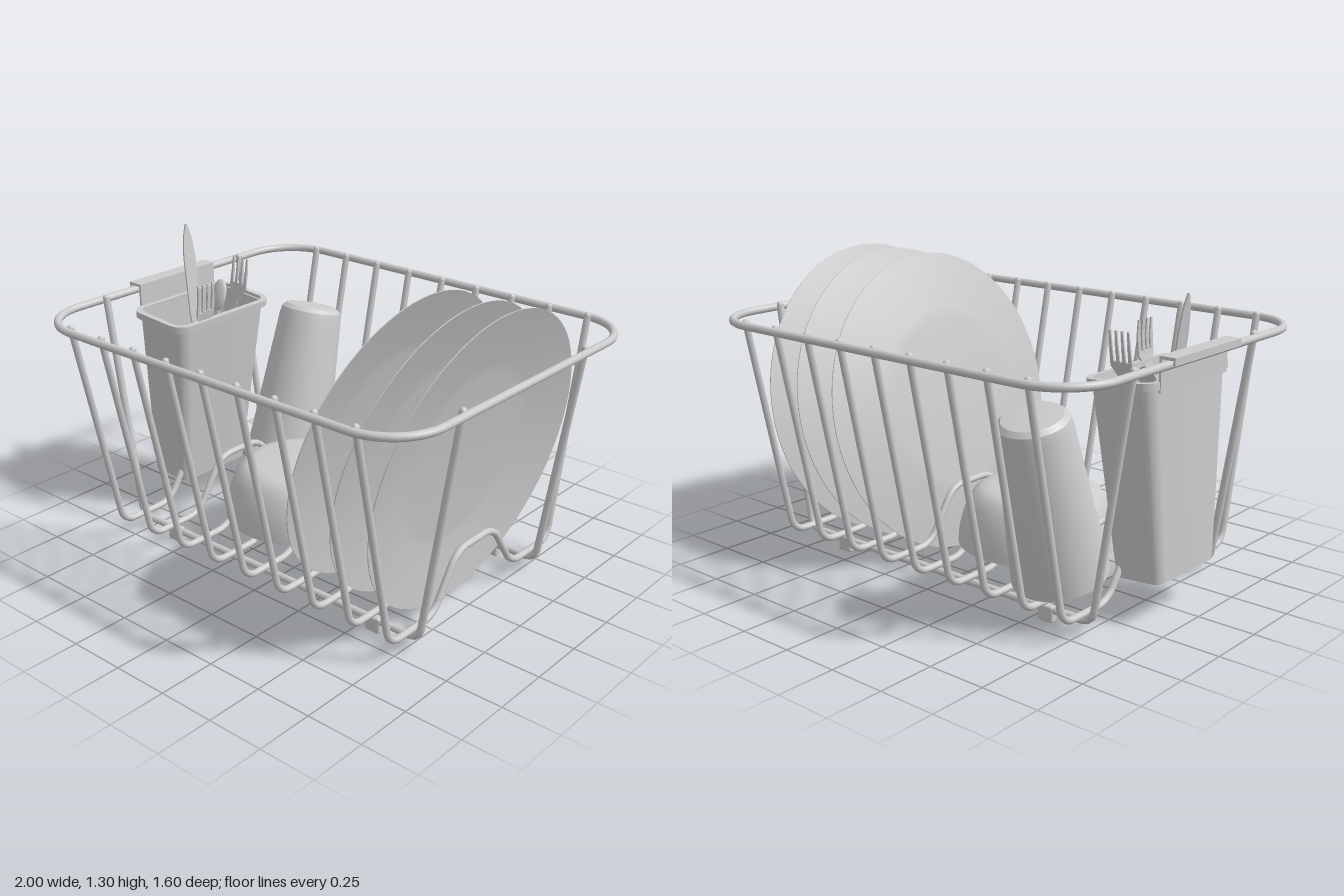
import * as THREE from 'three';
import { toCreasedNormals } from 'three/addons/utils/BufferGeometryUtils.js';
import { RoundedBoxGeometry } from 'three/addons/geometries/RoundedBoxGeometry.js';

const grey = new THREE.MeshStandardMaterial({ color: 0xcccccc, side: THREE.DoubleSide });
const V = (x, y, z) => new THREE.Vector3(x, y, z);

function add(parent, name, geometry, x = 0, y = 0, z = 0) {
  const mesh = new THREE.Mesh(geometry, grey);
  mesh.name = name;
  mesh.position.set(x, y, z);
  parent.add(mesh);
  return mesh;
}

// Polyline with rounded corners
function roundedPath(pts, r, closed = false) {
  const path = new THREE.CurvePath();
  const n = pts.length;
  const toward = (a, b) => a.clone().add(b.clone().sub(a).setLength(r));
  let last = closed ? toward(pts[0], pts[1]) : pts[0];
  for (let i = 1; i < (closed ? n + 1 : n - 1); i++) {
    const p = pts[i % n], next = pts[(i + 1) % n];
    const a = toward(p, pts[i - 1]), b = toward(p, next);
    path.add(new THREE.LineCurve3(last, a));
    // control points chosen for a near-circular bend
    path.add(new THREE.CubicBezierCurve3(a, a.clone().lerp(p, 0.56), b.clone().lerp(p, 0.56), b));
    last = b;
  }
  if (!closed) path.add(new THREE.LineCurve3(last, pts[n - 1]));
  return path;
}

function wire(parent, name, pts, radius, bend) {
  const group = new THREE.Group();
  group.name = name;
  add(group, name + 'Rod', new THREE.TubeGeometry(roundedPath(pts, bend), 140, radius, 10));
  for (const p of [pts[0], pts[pts.length - 1]]) {
    add(group, name + 'Tip', new THREE.SphereGeometry(radius, 10, 8), p.x, p.y, p.z);
  }
  parent.add(group);
}

const lathe = (pts, segments = 64) =>
  toCreasedNormals(new THREE.LatheGeometry(pts.map(p => new THREE.Vector2(...p)), segments), 0.6);

function roundRect(target, hx, hy, r) {
  target.moveTo(hx, hy - r);
  target.absarc(hx - r, hy - r, r, 0, Math.PI / 2);
  target.absarc(-hx + r, hy - r, r, Math.PI / 2, Math.PI);
  target.absarc(-hx + r, -hy + r, r, Math.PI, Math.PI * 1.5);
  target.absarc(hx - r, -hy + r, r, Math.PI * 1.5, Math.PI * 2);
  target.closePath();
  return target;
}

// Upright slab or ring with a rounded rectangular plan
function roundedPrism(hx, hz, r, height, wall = 0) {
  const shape = roundRect(new THREE.Shape(), hx, hz, r);
  if (wall) shape.holes.push(roundRect(new THREE.Path(), hx - wall, hz - wall, r - wall));
  const g = new THREE.ExtrudeGeometry(shape, { depth: height, bevelEnabled: false, curveSegments: 6 });
  return g.rotateX(-Math.PI / 2);
}

// Flat outline (half-widths against length) mirrored into a blade-like solid
function flatPiece(profile, thickness = 0.007) {
  const pts = [...profile, ...profile.map(([w, y]) => [-w, y]).reverse()];
  const shape = new THREE.Shape(pts.map(p => new THREE.Vector2(...p)));
  const g = new THREE.ExtrudeGeometry(shape, { depth: thickness, bevelEnabled: false });
  return g.translate(0, 0, -thickness / 2);
}

// Stand a utensil from one point to another, its width along a given axis
function utensil(parent, name, from, to, widthAxis) {
  const group = new THREE.Group();
  group.name = name;
  const y = to.clone().sub(from).normalize();
  const z = widthAxis.clone().cross(y).normalize();
  const x = y.clone().cross(z);
  group.quaternion.setFromRotationMatrix(new THREE.Matrix4().makeBasis(x, y, z));
  group.position.copy(from);
  parent.add(group);
  return { group, length: from.distanceTo(to) };
}

function fork(parent, name, from, to, widthAxis, bend) {
  const { group, length: L } = utensil(parent, name, from, to, widthAxis);
  const neck = L - 0.2, fan = L - 0.12;
  // the head curves gently forward
  const curl = g => {
    const p = g.attributes.position;
    for (let i = 0; i < p.count; i++) {
      p.setZ(i, p.getZ(i) + bend * Math.max(0, p.getY(i) - neck) ** 2);
    }
    return toCreasedNormals(g, 0.6);
  };
  add(group, 'forkHandle', curl(flatPiece([[0.03, 0], [0.012, neck], [0.03, neck + 0.03], [0.05, fan - 0.02], [0.05, fan]])));
  for (let i = 0; i < 4; i++) {
    const tine = flatPiece([[0.008, fan - 0.01], [0.007, fan + 0.06], [0.004, L]]);
    add(group, 'forkTine', curl(tine.translate((i - 1.5) * 0.028, 0, 0)));
  }
}

function buildRack(rack) {
  const rim = roundedPath([V(0.979, 1.058, 0.783), V(-0.969, 1.058, 0.783), V(-0.969, 1.058, -0.783), V(0.979, 1.058, -0.783)], 0.24, true);
  add(rack, 'topRim', new THREE.TubeGeometry(rim, 240, 0.017, 10, true));

  // nine cross wires, each with a raised hump in the floor
  const half = [[1.068, 0.762], [0.09, 0.555], [0.09, 0.275], [0.318, 0.125]];
  for (let i = 0; i < 9; i++) {
    const x = 0.005 + (i - 4) * 0.19;
    const side = half.map(([y, z]) => V(x, y, z));
    const other = half.map(([y, z]) => V(x, y, -z)).reverse();
    wire(rack, 'crossWire', [...side, ...other], 0.015, 0.06);
  }

  // two long wires with feet below
  for (const z of [0.408, -0.415]) {
    wire(rack, 'longWire', [V(-0.95, 1.068, z), V(-0.79, 0.058, z), V(0.8, 0.058, z), V(0.96, 1.068, z)], 0.016, 0.05);
    for (const x of [-0.57, 0.575]) {
      add(rack, 'foot', new RoundedBoxGeometry(0.075, 0.07, 0.036, 2, 0.01), x, 0.04, z);
    }
  }
}

function buildPlates(parent) {
  const profile = [[0, 0], [0.36, 0], [0.41, 0.006], [0.655, 0.062], [0.655, 0.066], [0.41, 0.015], [0.36, 0.01], [0, 0.01]];
  const geometry = lathe(profile, 80).translate(0, -0.064, 0);
  for (const [bottom, top] of [[0.21, 0.5], [0.435, 0.71], [0.635, 0.865]]) {
    const plate = add(parent, 'plate', geometry, (bottom + top) / 2, 0.655, 0);
    plate.rotation.z = -Math.PI / 2 - Math.atan((top - bottom) / 1.28);
  }
}

function buildHolder(parent) {
  const holder = new THREE.Group();
  holder.name = 'cutleryHolder';
  holder.position.set(-0.835, 0.175, 0);
  holder.rotation.z = -0.075;
  parent.add(holder);
  const height = 0.79;
  // walls and floor narrow toward the bottom
  const taper = g => {
    const p = g.attributes.position;
    for (let i = 0; i < p.count; i++) {
      const k = 0.75 + 0.25 * p.getY(i) / height;
      p.setX(i, p.getX(i) * k);
      p.setZ(i, p.getZ(i) * k);
    }
    return toCreasedNormals(g, 0.6);
  };
  add(holder, 'holderWalls', taper(roundedPrism(0.148, 0.27, 0.06, height, 0.012)));
  add(holder, 'holderFloor', taper(roundedPrism(0.146, 0.268, 0.06, 0.015)));
  add(holder, 'holderLip', toCreasedNormals(roundedPrism(0.162, 0.292, 0.07, 0.03, 0.026), 0.6), 0, height - 0.015, 0);

  // hook over the rim
  const hook = new THREE.Group();
  hook.name = 'holderHook';
  parent.add(hook);
  add(hook, 'hookTop', new THREE.BoxGeometry(0.07, 0.012, 0.455), -0.965, 1.082, 0);
  add(hook, 'hookOuterLip', new THREE.BoxGeometry(0.01, 0.03, 0.455), -0.995, 1.073, 0);
  add(hook, 'hookBack', new THREE.BoxGeometry(0.01, 0.14, 0.455), -0.935, 1.016, 0);
}

function buildCutlery(parent) {
  const alongX = V(1, 0, 0), alongZ = V(0, 0, 1);
  fork(parent, 'leaningFork', V(-0.88, 0.3, 0.13), V(-0.575, 1.115, 0.125), alongZ, 1.2);
  fork(parent, 'uprightFork', V(-0.76, 0.25, 0.03), V(-0.74, 1.145, -0.24), alongX, 0.6);

  const knife = utensil(parent, 'knife', V(-0.8, 0.3, -0.03), V(-0.95, 1.3, -0.08), alongZ);
  const L = knife.length;
  add(knife.group, 'knifeBlade', flatPiece([[0.022, 0], [0.02, 0.5], [0.033, 0.6], [0.034, L - 0.15], [0.024, L - 0.06], [0.004, L]]));

  const spoon = utensil(parent, 'spoon', V(-0.82, 0.3, 0.05), V(-0.85, 1.03, -0.2), alongX);
  add(spoon.group, 'spoonHandle', flatPiece([[0.025, 0], [0.012, spoon.length - 0.14]]));
  const bowl = add(spoon.group, 'spoonBowl', new THREE.SphereGeometry(1, 24, 8, 0, Math.PI * 2, 0, Math.PI / 2).rotateX(Math.PI / 2), 0, spoon.length - 0.075, 0);
  bowl.scale.set(0.045, 0.075, 0.02);
}

export function createModel() {
  const model = new THREE.Group();
  model.name = 'dishRack';
  const rack = new THREE.Group();
  rack.name = 'wireRack';
  model.add(rack);
  buildRack(rack);
  buildPlates(model);

  // upturned bowl
  add(model, 'bowl', lathe([[0.325, 0], [0.34, 0], [0.335, 0.06], [0.32, 0.12], [0.298, 0.18], [0.27, 0.222], [0.24, 0.242], [0.2, 0.248], [0, 0.248],
    [0, 0.234], [0.2, 0.234], [0.25, 0.214], [0.285, 0.17], [0.308, 0.11], [0.322, 0.05], [0.325, 0]]), -0.18, 0.13, 0);

  // upturned tumbler leaning to the back
  const cup = add(model, 'tumbler', lathe([[0.182, 0], [0.195, 0], [0.147, 0.64], [0.14, 0.672], [0.12, 0.69], [0.09, 0.694], [0, 0.694],
    [0, 0.68], [0.11, 0.68], [0.133, 0.64], [0.182, 0]], 48), -0.597, 0.2, -0.37);
  cup.rotation.x = -0.26;

  buildHolder(model);
  buildCutlery(model);
  return model;
}
